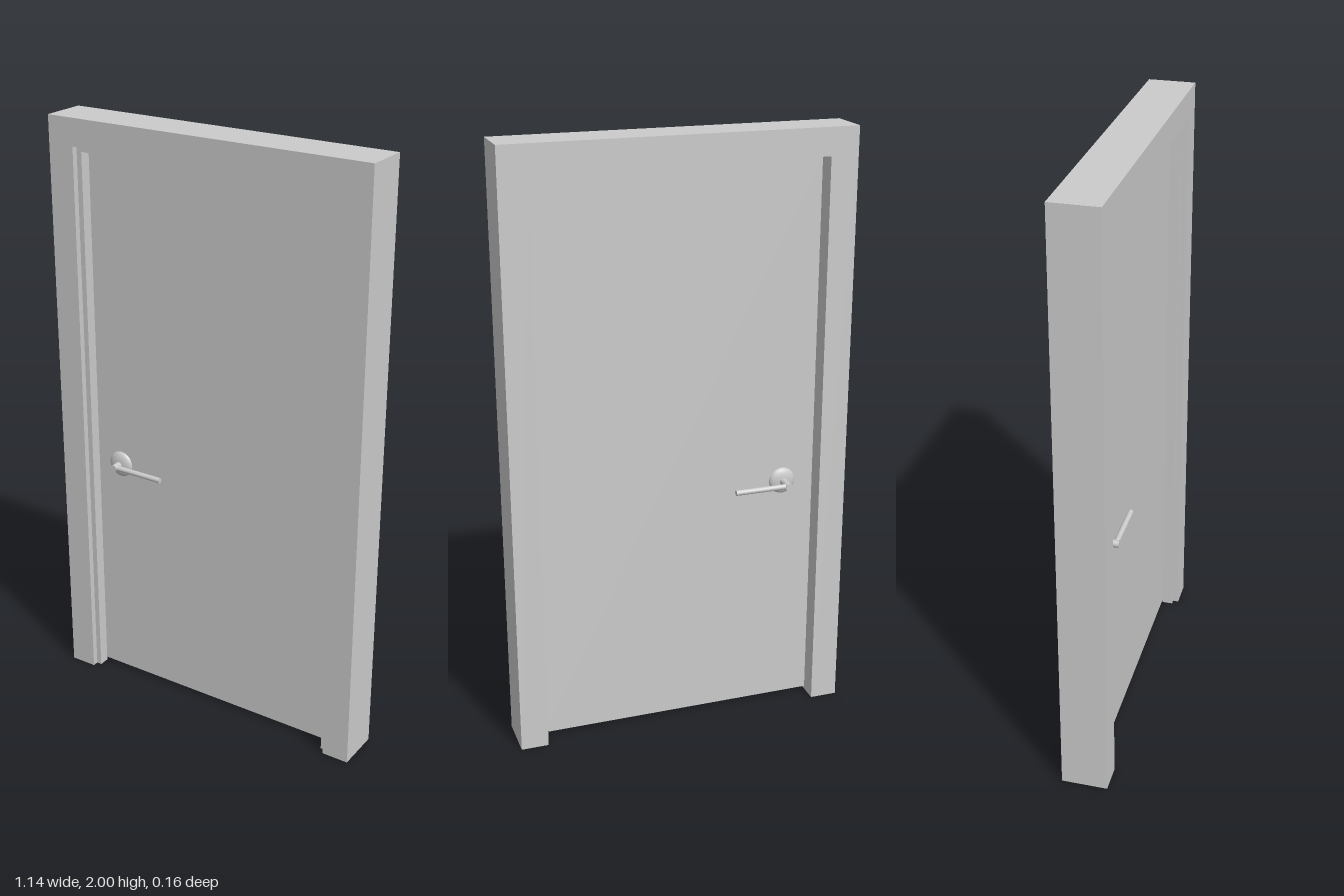
import * as THREE from 'three';

const material = new THREE.MeshStandardMaterial({ color: 0xcccccc });

function add(parent, name, geometry, x = 0, y = 0, z = 0) {
  const mesh = new THREE.Mesh(geometry, material);
  mesh.name = name;
  mesh.position.set(x, y, z);
  parent.add(mesh);
  return mesh;
}

// Upside-down U outline, open at the floor, extruded from z0 to z1
function archway(outerX, outerY, innerX, innerY, z0, z1) {
  const shape = new THREE.Shape([
    [-outerX, 0], [-innerX, 0], [-innerX, innerY], [innerX, innerY],
    [innerX, 0], [outerX, 0], [outerX, outerY], [-outerX, outerY],
  ].map(([x, y]) => new THREE.Vector2(x, y)));
  return new THREE.ExtrudeGeometry(shape, { depth: z1 - z0, bevelEnabled: false }).translate(0, 0, z0);
}

// Rosette, spindle and lever; built along +z from the door face
function handle(name, reach) {
  const group = new THREE.Group();
  group.name = name;
  const profile = [[0.045, 0], [0.044, 0.004], [0.039, 0.009], [0.03, 0.013], [0.018, 0.016], [0, 0.017]]
    .map(([r, h]) => new THREE.Vector2(r, h));
  add(group, 'rosette', new THREE.LatheGeometry(profile, 40).rotateX(Math.PI / 2));
  add(group, 'spindle', new THREE.CylinderGeometry(0.012, 0.012, reach, 24).rotateX(Math.PI / 2), 0, 0, reach / 2);
  const lever = new THREE.CylinderGeometry(0.009, 0.009, 0.19, 20).rotateZ(Math.PI / 2);
  add(group, 'lever', lever, 0.09, 0, reach - 0.011);
  return group;
}

export function createModel() {
  const door = new THREE.Group();
  door.name = 'door';
  const front = 0.023, back = -0.012;

  // Frame and the stop strip the leaf closes against
  add(door, 'frame', archway(0.57, 2, 0.478, 1.91, -0.073, 0.08));
  add(door, 'doorStop', archway(0.478, 1.91, 0.46, 1.892, front, 0.06));

  // Leaf, with a gap above the floor
  add(door, 'leaf', new THREE.BoxGeometry(0.954, 1.896, front - back), 0, 0.96, (front + back) / 2);

  // Handles on both faces, levers pointing to the middle
  const frontHandle = handle('frontHandle', 0.047);
  frontHandle.position.set(-0.367, 0.824, front);
  const backHandle = handle('backHandle', 0.069);
  backHandle.position.set(-0.367, 0.824, back);
  backHandle.rotation.x = Math.PI;
  door.add(frontHandle, backHandle);
  return door;
}
